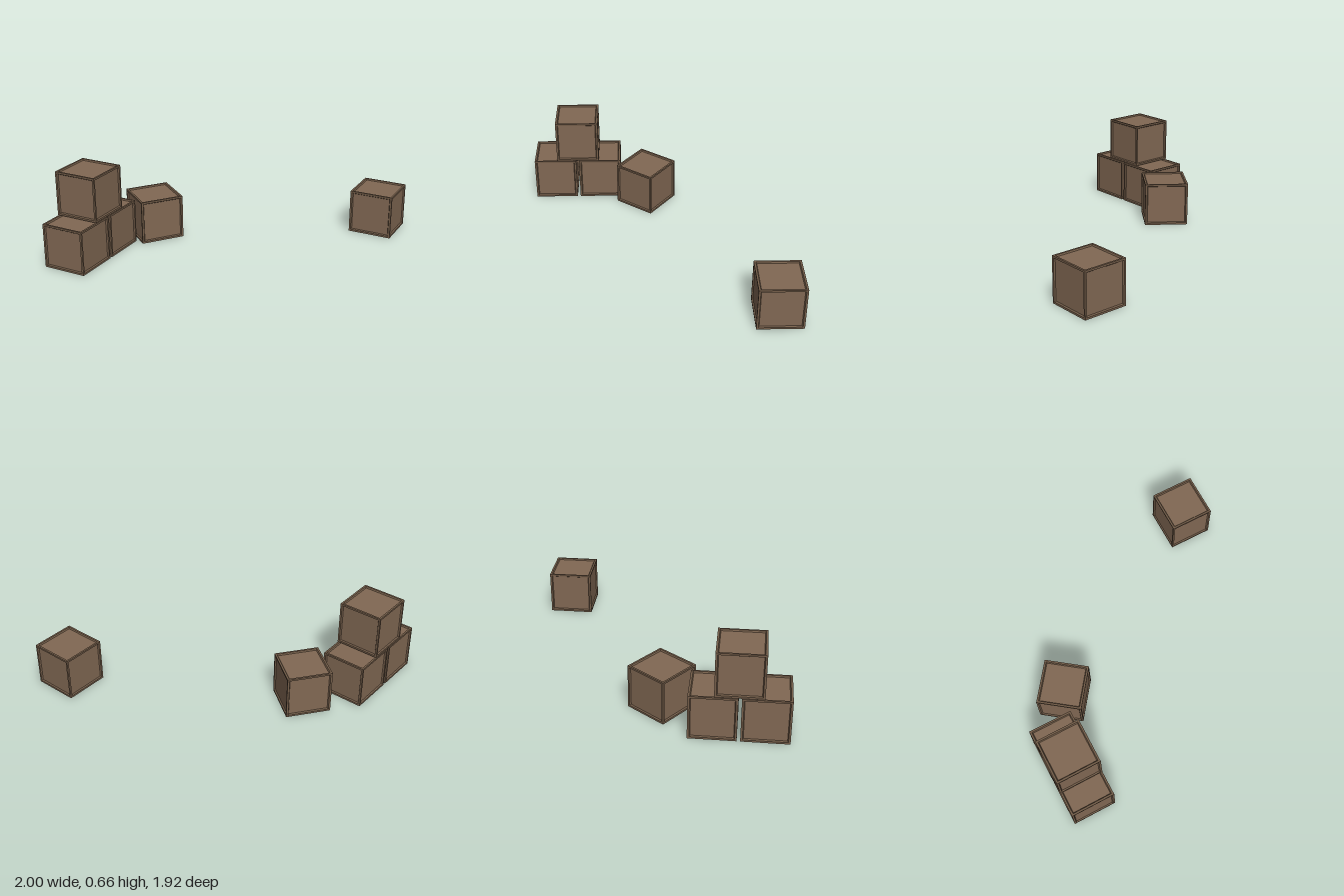
import * as THREE from 'three';
import { mergeGeometries } from 'three/addons/utils/BufferGeometryUtils.js';

const SIZE = 0.327, H = SIZE / 2;

// Square ring on the +z side of a crate, from half-width a at depth za to b at zb
function ring(a, za, b, zb) {
  const corner = (r, z, i) => [[-r, -r, z], [r, -r, z], [r, r, z], [-r, r, z]][i % 4];
  const pos = [];
  for (let i = 0; i < 4; i++) {
    const p = corner(a, za, i), q = corner(a, za, i + 1);
    const s = corner(b, zb, i + 1), t = corner(b, zb, i);
    pos.push(...p, ...q, ...s, ...p, ...s, ...t);
  }
  const g = new THREE.BufferGeometry();
  g.setAttribute('position', new THREE.Float32BufferAttribute(pos, 3));
  g.computeVertexNormals();
  return g;
}

// Repeat a +z side geometry on all six sides of the cube
function sixSides(side) {
  const sides = [];
  for (let i = 0; i < 4; i++) sides.push(side.clone().rotateY(i * Math.PI / 2));
  for (const s of [-1, 1]) sides.push(side.clone().rotateX(s * Math.PI / 2));
  return mergeGeometries(sides);
}

export function createModel() {
  const panelWood = new THREE.MeshStandardMaterial({ color: 0x816853 });
  panelWood.name = 'panel wood';
  const frameWood = new THREE.MeshStandardMaterial({ color: 0x725c48 });
  frameWood.name = 'frame wood';

  // Flat rim, sloped inner edge and recessed panel
  const rim = H - 0.014, inset = H - 0.02, floor = H - 0.01;
  const frameGeo = sixSides(mergeGeometries([ring(H, H, rim, H), ring(rim, H, inset, floor)]));
  const panelGeo = sixSides(new THREE.PlaneGeometry(inset * 2, inset * 2).translate(0, 0, floor));

  const group = new THREE.Group();
  group.name = 'crates';
  const crates = [
    ['frontCrate', -0.837, H, 0.796, 0],
    ['middleCrate', -0.837, H, 0.446, 0],
    ['stackedCrate', -0.837, H + 0.332, 0.617, 0],
    ['turnedCrate', -0.633, H, 0.08, -0.645],
    ['farCrate', 0.837, H, -0.796, 0],
  ];
  for (const [name, x, y, z, turn] of crates) {
    const crate = new THREE.Group();
    crate.name = name;
    const frame = new THREE.Mesh(frameGeo, frameWood);
    frame.name = 'frame';
    const panels = new THREE.Mesh(panelGeo, panelWood);
    panels.name = 'panels';
    crate.add(frame, panels);
    crate.position.set(x, y, z);
    crate.rotation.y = turn;
    group.add(crate);
  }
  return group;
}
